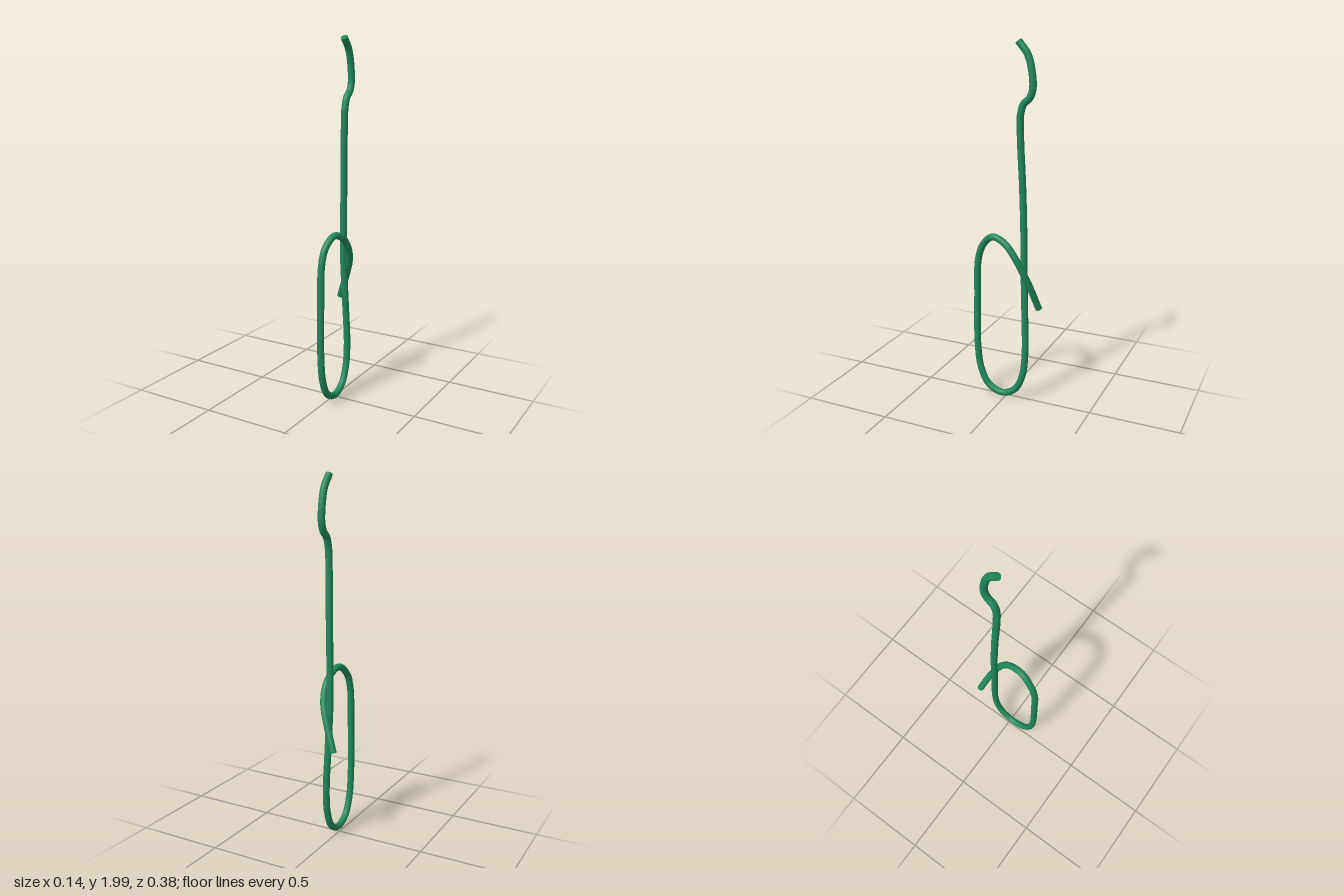
import * as THREE from 'three';

const RADIUS = 0.019;
const SIDES = 20;

// Centre line of the bent wire, from the upper tip to the free end
const PATH = [
  // curved tip and kink
  [0.018, 1.985, -0.074], [0.018, 1.925, -0.122], [0.018, 1.84, -0.147],
  [0.018, 1.75, -0.152], [0.018, 1.705, -0.135], [0.018, 1.677, -0.104],
  [0.017, 1.62, -0.086],
  // long stem
  [0.014, 1.5, -0.085], [0.007, 1.235, -0.096], [0.001, 0.97, -0.102],
  [0.001, 0.785, -0.104], [0.008, 0.55, -0.113], [0.017, 0.28, -0.12],
  // bottom bend of the loop
  [0.018, 0.15, -0.104], [0.018, 0.06, -0.06], [0.018, 0.022, 0.02],
  [0.018, 0.06, 0.105], [0.018, 0.15, 0.151], [0.018, 0.28, 0.17],
  // front side and top bend
  [0.018, 0.6, 0.17], [0.019, 0.81, 0.162], [0.023, 0.9, 0.13],
  [0.037, 0.955, 0.065], [0.048, 0.93, -0.01], [0.051, 0.86, -0.07],
  // free end, crossing beside the stem
  [0.038, 0.785, -0.106], [0.01, 0.71, -0.132], [-0.056, 0.543, -0.17],
];

export function createModel() {
  const model = new THREE.Group();
  model.name = 'bentWireHook';
  const material = new THREE.MeshStandardMaterial({ color: 0x20885c });

  const curve = new THREE.CatmullRomCurve3(
    PATH.map((p) => new THREE.Vector3(...p)), false, 'centripetal');
  const wire = new THREE.Mesh(
    new THREE.TubeGeometry(curve, 300, RADIUS, SIDES, false), material);
  wire.name = 'wire';
  model.add(wire);

  // Flat discs closing both cut ends
  for (const [name, t, sign] of [['upperEndCap', 0, -1], ['lowerEndCap', 1, 1]]) {
    const cap = new THREE.Mesh(new THREE.CircleGeometry(RADIUS, SIDES), material);
    cap.name = name;
    cap.position.copy(curve.getPointAt(t));
    cap.quaternion.setFromUnitVectors(
      new THREE.Vector3(0, 0, 1), curve.getTangentAt(t).multiplyScalar(sign));
    model.add(cap);
  }
  return model;
}
